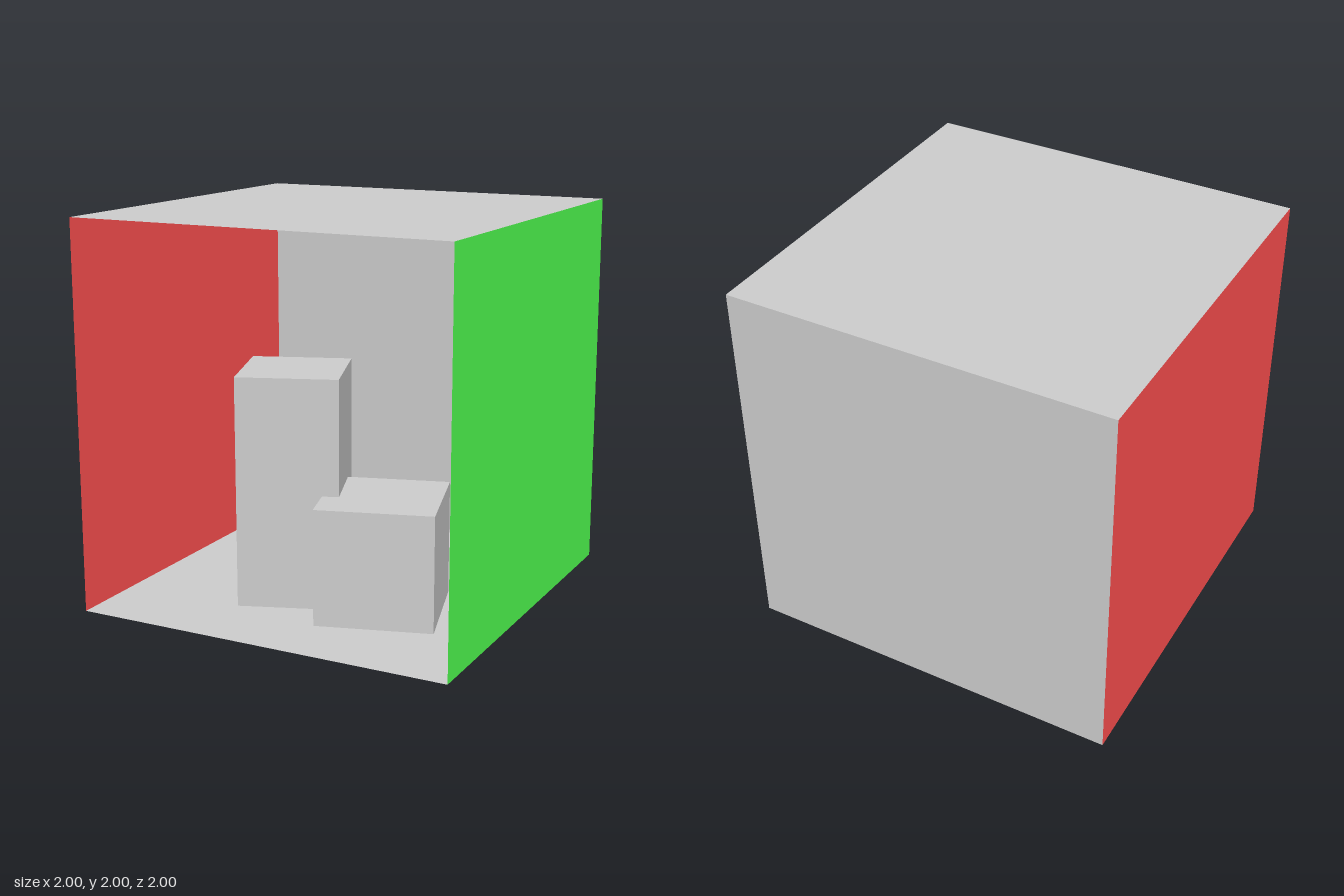
import * as THREE from 'three';

const SIZE = 2;

export function createModel() {
  const group = new THREE.Group();
  const paint = (color) =>
    new THREE.MeshStandardMaterial({ color, side: THREE.DoubleSide });
  const grey = paint(0xcccccc);
  const red = paint(0xff5050);
  const green = paint(0x50ff50);

  // Thin square panel, turned to face into the room
  function addPanel(name, material, position, rx, ry) {
    const panel = new THREE.Mesh(new THREE.PlaneGeometry(SIZE, SIZE), material);
    panel.name = name;
    panel.position.set(...position);
    panel.rotation.set(rx, ry, 0);
    group.add(panel);
  }

  // Square block standing on the floor, turned about its upright axis
  function addBlock(name, side, height, x, z, turn) {
    const block = new THREE.Mesh(new THREE.BoxGeometry(side, height, side), grey);
    block.name = name;
    block.position.set(x, height / 2, z);
    block.rotation.y = turn;
    group.add(block);
  }

  // Room shell, open at the front
  const q = Math.PI / 2;
  addPanel('floor', grey, [0, 0, 0], -q, 0);
  addPanel('ceiling', grey, [0, SIZE, 0], q, 0);
  addPanel('backWall', grey, [0, 1, -1], 0, 0);
  addPanel('rightWall', red, [-1, 1, 0], 0, q);
  addPanel('leftWall', green, [1, 1, 0], 0, -q);

  // Two blocks that overlap at one corner
  addBlock('tallBlock', 0.524, 1.2, -0.195, 0.25, 0.352);
  addBlock('shortBlock', 0.6, 0.6, 0.327, 0.28, 0.29);

  return group;
}
